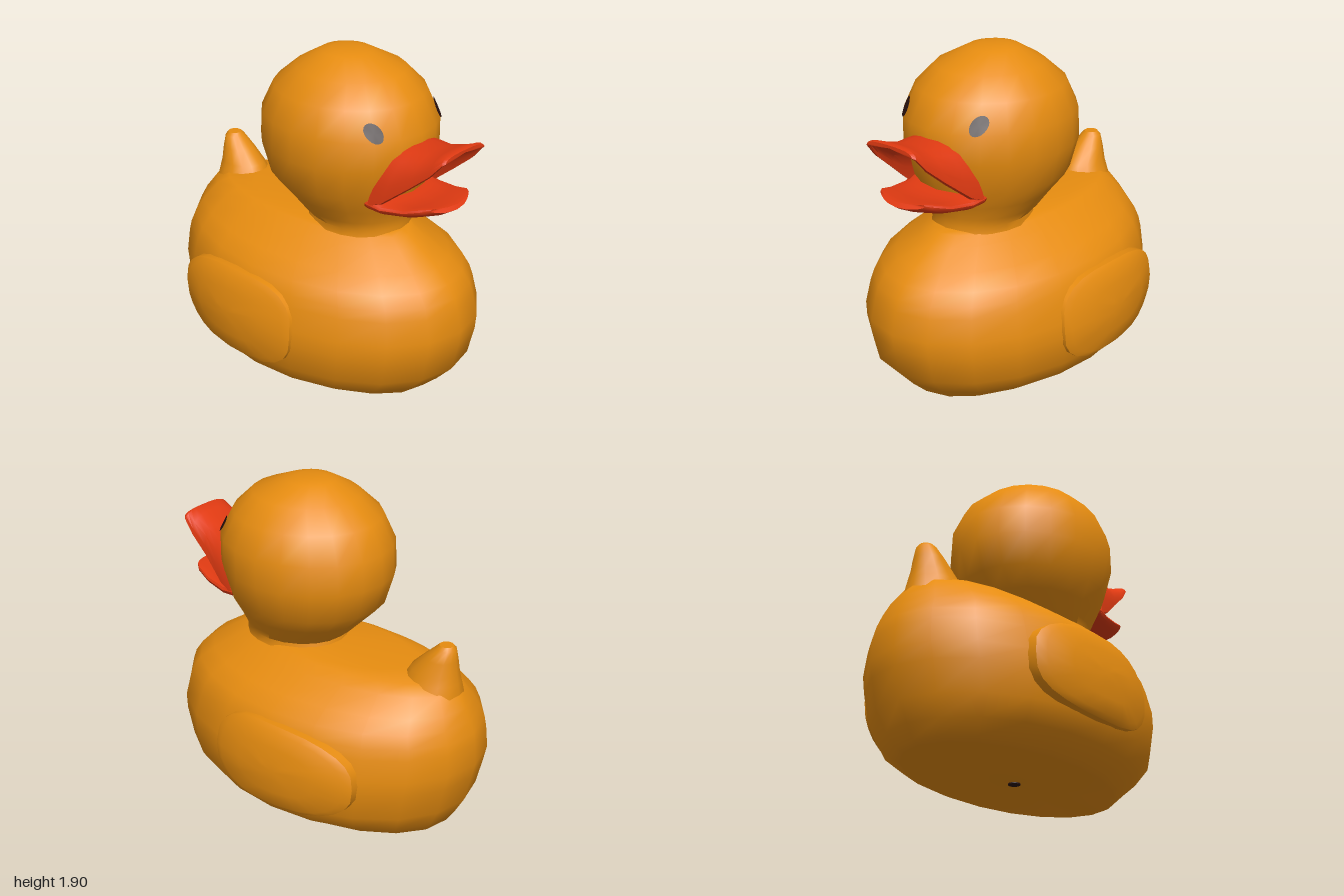
import * as THREE from 'three';
import { toCreasedNormals } from 'three/addons/utils/BufferGeometryUtils.js';

const V = (x, y, z) => new THREE.Vector3(x, y, z);
const mat = (name, color) => Object.assign(new THREE.MeshStandardMaterial({ color }), { name });

// Skin a list of closed loops, capped at both ends
function skin(rings, crease = 0.75) {
  const n = rings[0].length, pts = rings.flat(), index = [];
  for (let i = 0; i < rings.length - 1; i++) {
    for (let j = 0; j < n; j++) {
      const a = i * n + j, b = i * n + (j + 1) % n;
      index.push(a, b, b + n, a, b + n, a + n);
    }
  }
  const centre = ring => ring.reduce((s, p) => s.add(p), V(0, 0, 0)).divideScalar(n);
  const last = (rings.length - 1) * n, c0 = pts.length, c1 = c0 + 1;
  pts.push(centre(rings[0]), centre(rings[rings.length - 1]));
  for (let j = 0; j < n; j++) {
    const k = (j + 1) % n;
    index.push(c0, k, j, c1, last + j, last + k);
  }
  const g = new THREE.BufferGeometry().setFromPoints(pts);
  g.setIndex(index);
  return toCreasedNormals(g, crease);
}

// Level sections: [y, front z, back z, half width]
const BODY = [
  [0.006, 0.75, -0.79, 0.44], [0.025, 0.77, -0.83, 0.48], [0.1, 0.85, -0.88, 0.59],
  [0.21, 0.95, -0.94, 0.655], [0.38, 0.99, -0.98, 0.675], [0.47, 1.0, -1.0, 0.67],
  [0.6, 0.97, -0.99, 0.64], [0.66, 0.95, -0.98, 0.62], [0.73, 0.9, -0.95, 0.585],
  [0.8, 0.82, -0.92, 0.5], [0.89, 0.68, -0.86, 0.365], [0.935, 0.61, -0.78, 0.3],
  [0.95, 0.57, -0.55, 0.265],
];
const HEAD = [
  [0.93, 0.56, -0.07, 0.27], [0.97, 0.555, -0.06, 0.265], [1.02, 0.56, -0.12, 0.3],
  [1.1, 0.59, -0.2, 0.35], [1.2, 0.63, -0.3, 0.42], [1.38, 0.685, -0.355, 0.465],
  [1.55, 0.685, -0.345, 0.46], [1.7, 0.605, -0.27, 0.4], [1.81, 0.49, -0.14, 0.29],
  [1.89, 0.29, 0.0, 0.14], [1.903, 0.22, 0.06, 0.08],
];
const TAIL = [
  [0.84, -0.5, -0.88, 0.18], [0.93, -0.54, -0.865, 0.14], [0.98, -0.57, -0.855, 0.118],
  [1.06, -0.65, -0.845, 0.09], [1.125, -0.72, -0.835, 0.06], [1.145, -0.74, -0.82, 0.04],
];

const loft = (sections, sides) => skin(sections.map(([y, zf, zb, w]) =>
  Array.from({ length: sides }, (_, j) => {
    const a = j / sides * Math.PI * 2;
    return V(w * Math.sin(a), y, (zf + zb) / 2 + (zf - zb) / 2 * Math.cos(a));
  })));

// Section of a loft at height y: centre z, half depth, half width
function sectionAt(sections, y) {
  let i = 0;
  while (i < sections.length - 2 && sections[i + 1][0] < y) i++;
  const a = sections[i], b = sections[i + 1], t = (y - a[0]) / (b[0] - a[0]);
  const [, zf, zb, w] = a.map((v, k) => v + (b[k] - v) * t);
  return { c: (zf + zb) / 2, r: (zf - zb) / 2, w };
}

// Folded wing: rounded pad raised from the flank, more so at the back
function wing(side) {
  const layers = [[1, -0.03, 0], [1, 0, 0.75], [0.9, 0, 1], [0.55, 0, 1], [0.2, 0, 1]];
  return skin(layers.map(([s, sink, lift]) => {
    const ring = Array.from({ length: 24 }, (_, j) => {
      const a = j / 24 * Math.PI * 2, c = Math.cos(a), d = Math.sin(a);
      const z = -0.13 - s * 0.46 * Math.sign(c) * Math.abs(c) ** 0.75;
      const y = 0.44 + s * 0.25 * Math.sign(d) * Math.abs(d) ** 0.75 * (d > 0 ? 1 - 0.12 * c : 1 - 0.06 * c);
      const b = sectionAt(BODY, y);
      const x = b.w * Math.sqrt(1 - ((z - b.c) / b.r) ** 2) + sink + lift * (0.04 - 0.045 * z);
      return V(side * x, y, z);
    });
    return side > 0 ? ring : ring.reverse();
  }));
}

// Arched upper bill: [ridge y, ridge z, edge y, edge z, half width, thickness]
function upperBill() {
  const stations = [
    [1.5, 0.62, 1.17, 0.53, 0.26, 0.06], [1.505, 0.71, 1.21, 0.62, 0.248, 0.055],
    [1.505, 0.8, 1.33, 0.77, 0.205, 0.05], [1.53, 0.89, 1.43, 0.89, 0.188, 0.04],
    [1.55, 0.945, 1.505, 0.955, 0.175, 0.025], [1.545, 0.965, 1.515, 0.97, 0.16, 0.012],
  ];
  const n = 12;
  return skin(stations.map(([ty, tz, ey, ez, w, t]) => {
    const arc = (inset, drop) => Array.from({ length: n + 1 }, (_, j) => {
      const a = (0.5 - j / n) * Math.PI, k = (1 - Math.cos(a)) ** 1.4;
      return V((w - inset) * Math.sin(a), ty + (ey - ty) * k - drop * (1 - 0.7 * k), tz + (ez - tz) * k - drop * 0.2);
    });
    return [...arc(0, 0), ...arc(t * 0.5, t).reverse()];
  }));
}

// Lower bill: [z, centre y, half width, half height]
function lowerBill() {
  const stations = [
    [0.5, 1.175, 0.25, 0.045], [0.58, 1.165, 0.262, 0.05], [0.66, 1.152, 0.25, 0.038],
    [0.8, 1.17, 0.222, 0.032], [0.9, 1.202, 0.19, 0.028], [0.935, 1.212, 0.16, 0.016],
  ];
  return skin(stations.map(([z, y, w, h]) => Array.from({ length: 20 }, (_, j) => {
    const a = j / 20 * Math.PI * 2, c = Math.cos(a), s = Math.sin(a);
    const u = Math.sign(c) * Math.abs(c) ** 0.7;
    return V(w * u, y + h * Math.sign(s) * Math.abs(s) ** 0.7 + 0.015 * u * u, z - 0.05 * u * u);
  })));
}

// Eye: oval disc laid onto the curve of the head
function eye(side) {
  const g = new THREE.CircleGeometry(1, 20), p = g.attributes.position;
  for (let i = 0; i < p.count; i++) {
    const x = side * 0.258 + p.getX(i) * 0.038, y = 1.597 + p.getY(i) * 0.05;
    const h = sectionAt(HEAD, y);
    p.setXYZ(i, x, y, h.c + h.r * Math.sqrt(1 - (x / h.w) ** 2) + 0.006);
  }
  g.computeVertexNormals();
  return g;
}

export function createModel() {
  const yellow = mat('duckOrange', 0xe68c10), red = mat('billRed', 0xe03a12), dark = mat('darkBrown', 0x2a1210);
  const duck = new THREE.Group();
  duck.name = 'bathDuck';
  const add = (name, geometry, material) => {
    const m = new THREE.Mesh(geometry, material);
    m.name = name;
    duck.add(m);
    return m;
  };

  add('body', loft(BODY, 20), yellow);
  add('head', loft(HEAD, 20), yellow);
  add('tail', loft(TAIL, 14), yellow);
  add('upperBill', upperBill(), red);
  add('lowerBill', lowerBill(), red);
  for (const [label, side] of [['left', 1], ['right', -1]]) {
    add(label + 'Wing', wing(side), yellow);
    add(label + 'Eye', eye(side), dark);
  }
  // Squeaker hole under the body
  add('squeakerHole', new THREE.CylinderGeometry(0.035, 0.035, 0.008, 16).translate(0, 0.004, 0), dark);
  return duck;
}
